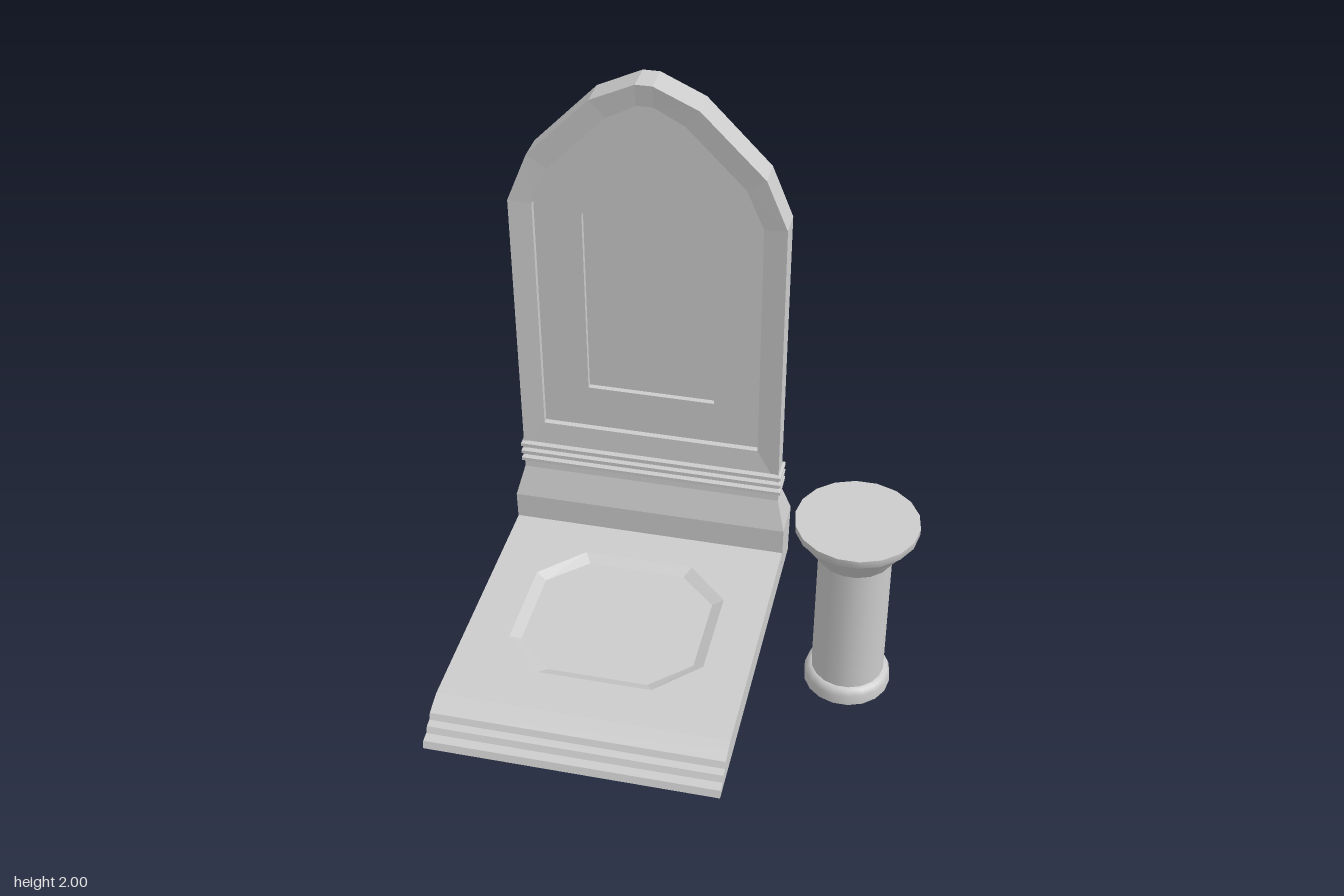
import * as THREE from 'three';

const CX = -0.272; // centre line of the slab and floor
const HALF = 0.528; // half width of the floor
const flat = new THREE.MeshStandardMaterial({ color: 0xcccccc, flatShading: true });
const smooth = new THREE.MeshStandardMaterial({ color: 0xcccccc });

function add(parent, name, geometry, material = flat) {
  const mesh = new THREE.Mesh(geometry, material);
  mesh.name = name;
  parent.add(mesh);
}

// Skin between closed loops of [x, y, z] points, with the same count in each loop
function loft(loops) {
  const pos = [];
  for (let i = 0; i < loops.length - 1; i++) {
    const n = loops[i].length;
    for (let j = 0; j < n; j++) {
      const k = (j + 1) % n;
      const a = loops[i][j], b = loops[i][k], c = loops[i + 1][k], d = loops[i + 1][j];
      pos.push(...a, ...b, ...c, ...a, ...c, ...d);
    }
  }
  const g = new THREE.BufferGeometry();
  g.setAttribute('position', new THREE.Float32BufferAttribute(pos, 3));
  g.computeVertexNormals();
  return g;
}

const shapeOf = (pts) => new THREE.Shape(pts.map(([x, y]) => new THREE.Vector2(x, y)));

// Pointed outline mirrored about the centre line, from its right half
const arch = (half) => [
  ...half.map(([x, y]) => [CX + x, y]),
  ...half.slice().reverse().map(([x, y]) => [CX - x, y]),
];

// Octagon as [x, z], running from the front left
function octagon(hx, hz, fx, fz) {
  const cz = -0.015;
  return [[-fx, hz], [fx, hz], [hx, fz], [hx, -fz], [fx, -hz], [-fx, -hz], [-hx, -fz], [-hx, fz]]
    .map(([x, z]) => [CX + x, cz + z]);
}

function buildFloor() {
  const floor = new THREE.Group();
  floor.name = 'floor';

  // Stepped body, drawn as [z, y] and run across the width
  const body = new THREE.ExtrudeGeometry(shapeOf([
    [-0.65, 0], [0.665, 0], [0.655, 0.027], [0.622, 0.031], [0.61, 0.053], [0.583, 0.058],
    [0.571, 0.08], [0.53, 0.093], [0.495, 0.103], [0.495, 0.083], [-0.65, 0.083],
  ]), { depth: HALF * 2, bevelEnabled: false });
  body.rotateY(-Math.PI / 2).translate(CX + HALF, 0, 0);
  add(floor, 'steppedFloor', body);

  // Top layer with a sunken, sloped octagon
  const outer = octagon(0.362, 0.333, 0.207, 0.18);
  const inner = octagon(0.322, 0.293, 0.183, 0.163);
  const plateShape = shapeOf(
    [[CX - HALF, -0.495], [CX + HALF, -0.495], [CX + HALF, 0.52], [CX - HALF, 0.52]]);
  plateShape.holes.push(shapeOf(outer.map(([x, z]) => [x, -z])));
  const plate = new THREE.ExtrudeGeometry(plateShape, { depth: 0.02, bevelEnabled: false });
  plate.rotateX(-Math.PI / 2).translate(0, 0.083, 0);
  add(floor, 'floorTop', plate);
  add(floor, 'octagonSlope', loft([
    outer.map(([x, z]) => [x, 0.103, z]),
    inner.map(([x, z]) => [x, 0.084, z]),
  ]));
  return floor;
}

function buildSlab() {
  const slab = new THREE.Group();
  slab.name = 'backSlab';

  // Foot and three mouldings: [y, half width, front z, back z]
  const rows = [
    [0, HALF, -0.505, -0.65], [0.21, 0.53, -0.505, -0.662], [0.33, 0.498, -0.54, -0.622],
  ];
  for (const y of [0.356, 0.39, 0.424]) {
    rows.push([y, 0.498, -0.542, -0.62], [y + 0.008, 0.507, -0.53, -0.637],
      [y + 0.021, 0.507, -0.53, -0.637], [y + 0.03, 0.498, -0.542, -0.62]);
  }
  add(slab, 'footAndMouldings', loft(rows.map(([y, w, f, b]) =>
    [[CX - w, y, f], [CX + w, y, f], [CX + w, y, b], [CX - w, y, b]])));

  // Pointed slab from the leaning back, round the edge, into two sunken panels
  const outline = arch([[0.497, 0.4], [0.497, 1.51], [0.42, 1.695], [0.19, 1.927], [0.03, 2]]);
  const panel = arch([[0.413, 0.545], [0.413, 1.5], [0.35, 1.645], [0.138, 1.86], [0.03, 1.918]]);
  const core = arch([[0.24, 0.72], [0.24, 1.46], [0.205, 1.547], [0.11, 1.642], [0.015, 1.738]]);
  const middle = outline.map(() => [CX, 1.2]);
  const at = (pts, z) => pts.map(([x, y]) => [x, y, z]);
  const leaning = (pts) => pts.map(([x, y]) => [x, y, -0.62 - 0.022 * (y - 0.4)]);
  add(slab, 'pointedSlab', loft([
    leaning(middle), leaning(outline), at(outline, -0.54),
    at(panel, -0.551), at(panel, -0.574),
    at(core, -0.574), at(core, -0.595), at(middle, -0.595),
  ]));
  return slab;
}

function buildPillar() {
  // Profile as [radius, y]; repeated points keep an edge sharp
  const profile = [
    [0, 0], [0.155, 0], [0.155, 0], [0.154, 0.038], [0.145, 0.06], [0.13, 0.064], [0.13, 0.064],
    [0.128, 0.585], [0.128, 0.585], [0.136, 0.59], [0.168, 0.64], [0.199, 0.685],
    [0.214, 0.702], [0.215, 0.73], [0.215, 0.73], [0, 0.73],
  ].map(([r, y]) => new THREE.Vector2(r, y));
  const pillar = new THREE.Group();
  pillar.name = 'pillar';
  add(pillar, 'pillarBody', new THREE.LatheGeometry(profile, 18, Math.PI / 2), smooth);
  pillar.position.set(0.585, 0, -0.013);
  return pillar;
}

export function createModel() {
  const model = new THREE.Group();
  model.name = 'monument';
  model.add(buildFloor(), buildSlab(), buildPillar());
  return model;
}
